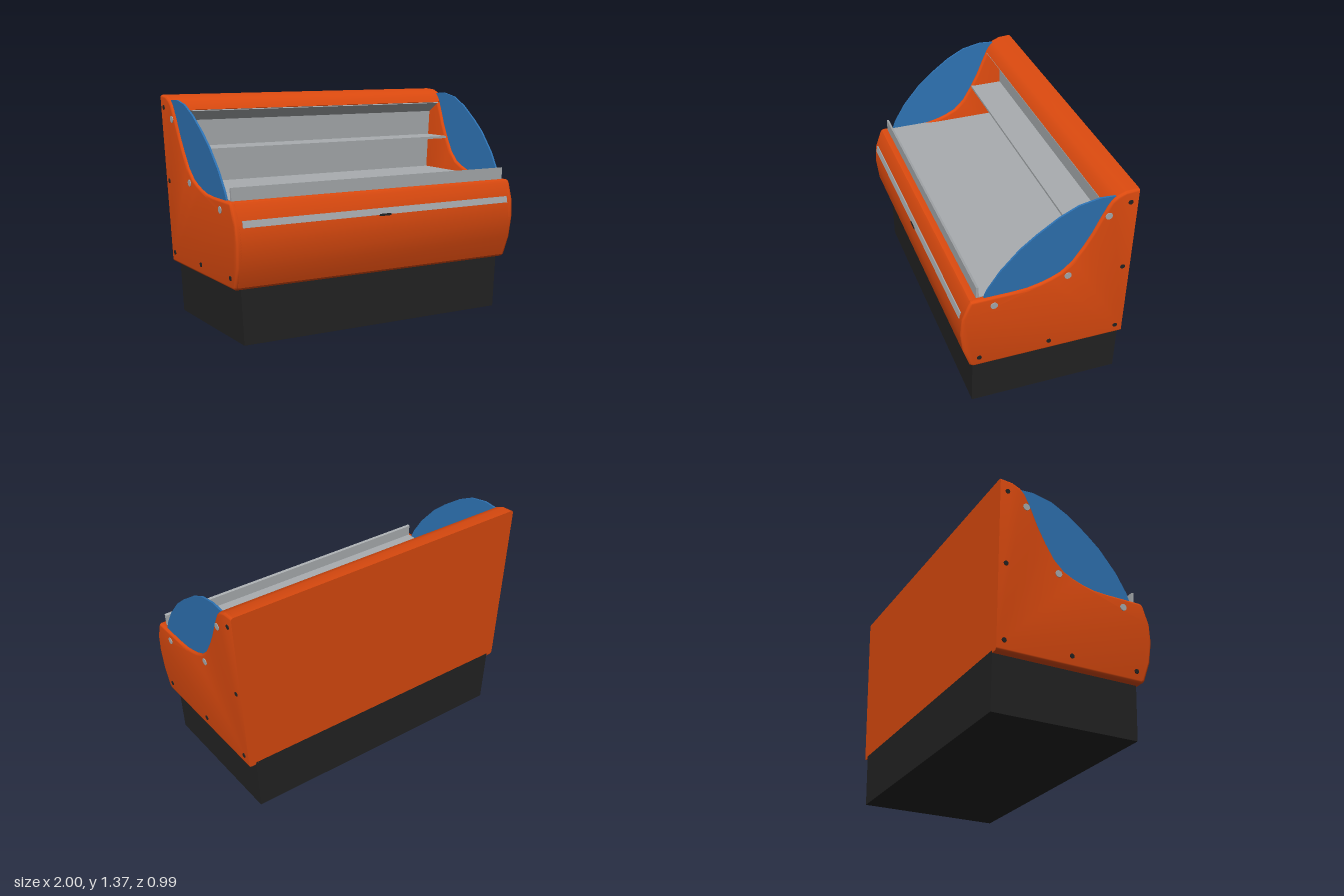
import * as THREE from 'three';
import { toCreasedNormals } from 'three/addons/utils/BufferGeometryUtils.js';

const paint = (name, color) => {
  const m = new THREE.MeshStandardMaterial({ color });
  m.name = name;
  return m;
};

// The cabinet widens slightly towards the top
const SLOPE = 0.055, BACK = -0.495;
const halfWidth = y => 0.925 + SLOPE * y;

// Side outline pieces as [z, y]
const front = [[0.42, 0.325], [0.44, 0.34], [0.48, 0.46], [0.495, 0.59], [0.485, 0.7], [0.447, 0.8], [0.437, 0.815], [0.42, 0.82]];
const swoop = [[0.2, 0.821], [0.11, 0.826], [0.04, 0.842], [-0.02, 0.862], [-0.08, 0.89], [-0.145, 0.95],
  [-0.2, 1.035], [-0.25, 1.125], [-0.29, 1.215]];
const hood = [[-0.32, 1.275], [-0.34, 1.31], [-0.37, 1.34], [-0.42, 1.36], [BACK, 1.365]];

// Extrudes a [z, y] outline along x over -1..1 (or a thickness), then places x by a rule
function slab(outline, thickness, bevel, placeX) {
  const shape = new THREE.Shape(outline.map(([z, y]) => new THREE.Vector2(-z, y)));
  const depth = thickness - 2 * bevel;
  const geo = new THREE.ExtrudeGeometry(shape, {
    depth, bevelEnabled: bevel > 0, bevelSize: bevel, bevelThickness: bevel, bevelOffset: -bevel, bevelSegments: 3,
  });
  geo.translate(0, 0, -depth / 2).rotateY(Math.PI / 2);
  const p = geo.attributes.position;
  for (let i = 0; i < p.count; i++) {
    p.setX(i, placeX(p.getX(i), p.getY(i)));
    p.setZ(i, Math.max(p.getZ(i), BACK)); // flat back
  }
  return toCreasedNormals(geo, 0.6);
}

export function createModel() {
  const orange = paint('orange shell', 0xdc4a0f);
  const grey = paint('grey metal', 0xa9adb0);
  const blue = paint('blue glass', 0x2e73b4);
  const black = paint('black plinth', 0x232323);
  const model = new THREE.Group();
  const add = (name, geo, mat, parent = model) => {
    const mesh = new THREE.Mesh(geo, mat);
    mesh.name = name;
    parent.add(mesh);
    return mesh;
  };
  const across = inset => (x, y) => x * (halfWidth(y) - inset);

  // Plinth
  add('plinth', slab([[BACK, 0], [0.41, 0], [0.41, 0.34], [BACK, 0.34]], 2, 0, across(0.045)), black);

  // Body: front, bottom, back and hood in one section
  add('body', slab([[BACK, 0.325], ...front, [0.4, 0.82], [0.395, 0.81], [-0.42, 0.81], [-0.42, 1.215],
    [-0.32, 1.278], ...hood.slice(1)], 2, 0, across(0.015)), orange);

  // Display deck, rear wall and hood underside
  add('displayLiner', slab([[0.395, 0.808], [0.395, 0.825], [-0.41, 0.825], [-0.41, 1.21], [-0.322, 1.27],
    [-0.325, 1.277], [-0.42, 1.216], [-0.42, 0.808]], 2, 0, across(0.03)), grey);
  add('shelf', slab([[-0.415, 1.035], [-0.205, 1.035], [-0.205, 1.05], [-0.415, 1.05]], 2, 0, across(0.04)), grey);
  add('frontLip', slab([[0.383, 0.82], [0.4, 0.82], [0.4, 0.895], [0.385, 0.89]], 2, 0, across(0.03)), grey);

  // Side panels with glass and bolts
  const panelOutline = [[-0.525, 0.325], ...front, ...swoop, ...hood.slice(0, -1), [-0.525, 1.365]];
  const glassOutline = [[0.36, 0.8], [0.36, 0.82], [0.34, 0.87], [0.27, 0.98], [0.16, 1.105], [0.07, 1.18], [-0.05, 1.265],
    [-0.16, 1.32], [-0.28, 1.343], [-0.37, 1.337], [-0.4, 1.2], [-0.3, 0.9], [-0.1, 0.8]];
  const greyBolts = [[0.305, 0.763], [-0.12, 0.863], [-0.33, 1.225]];
  const blackBolts = [[-0.45, 1.29], [-0.45, 0.84], [-0.45, 0.388], [-0.035, 0.388], [0.385, 0.388]];
  for (const s of [1, -1]) {
    const side = new THREE.Group();
    side.name = s > 0 ? 'leftSide' : 'rightSide';
    model.add(side);
    const offset = inset => (x, y) => x + s * (halfWidth(y) - inset);
    add('sidePanel', slab(panelOutline, 0.045, 0.015, offset(0.0225)), orange, side);
    add('sideGlass', slab(glassOutline, 0.012, 0, offset(0.022)), blue, side);
    const bolts = (list, r, mat, name) => list.forEach(([z, y]) => {
      const bolt = add(name, new THREE.CylinderGeometry(r, r, 0.008, 16), mat, side);
      bolt.position.set(s * halfWidth(y), y, z);
      bolt.rotation.z = -s * (Math.PI / 2 + SLOPE);
    });
    bolts(greyBolts, 0.021, grey, 'panelBolt');
    bolts(blackBolts, 0.014, black, 'panelScrew');
  }

  // Front trim strip and lock
  const strip = add('trimStrip', new THREE.BoxGeometry(1.83, 0.04, 0.014), grey);
  strip.position.set(0, 0.701, 0.482);
  strip.rotation.x = -0.22;
  add('lock', new THREE.BoxGeometry(0.08, 0.013, 0.012), black).position.set(0, 0.682, 0.489);

  return model;
}
